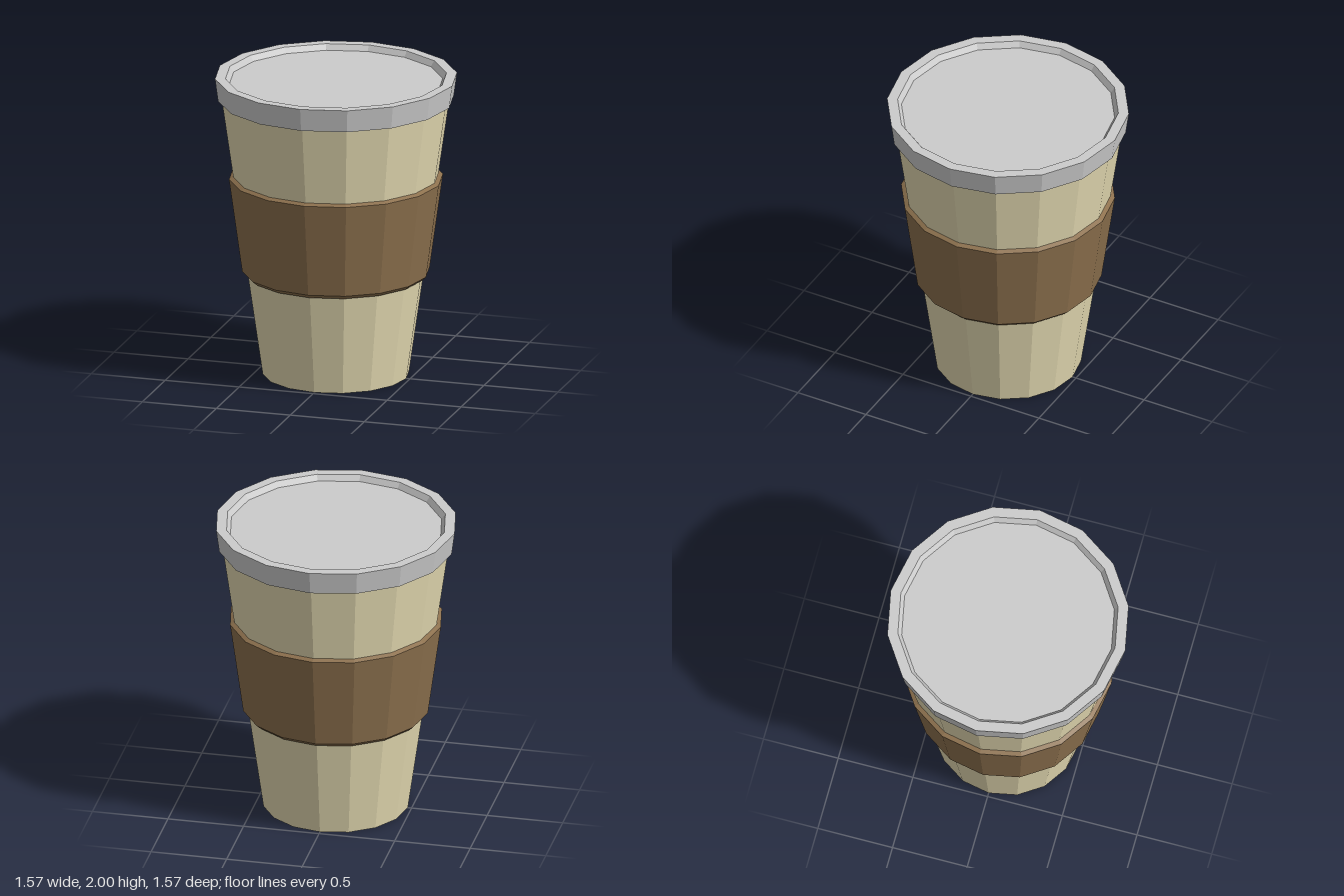
import * as THREE from 'three';

const SIDES = 16;

// Faceted ring-shaped part turned from [radius, height] points, bottom to top
function turned(name, color, profile) {
  const points = profile.map(([r, y]) => new THREE.Vector2(r, y));
  const material = new THREE.MeshStandardMaterial({ color, flatShading: true });
  const mesh = new THREE.Mesh(new THREE.LatheGeometry(points, SIDES), material);
  mesh.name = name;
  return mesh;
}

export function createModel() {
  const group = new THREE.Group();
  group.name = 'takeawayCup';

  // Tapered cup with a closed base, running up inside the lid
  group.add(turned('cupBody', 0xe6dcb3, [[0, 0], [0.475, 0], [0.744, 1.88]]));

  // Sleeve with bevelled lower and upper edges
  group.add(turned('sleeve', 0x8d714e, [
    [0.565, 0.67], [0.582, 0.67], [0.608, 0.695], [0.694, 1.32], [0.665, 1.335],
  ]));

  // Lid: underside lip, flared skirt, flat rim and sunken top
  group.add(turned('lid', 0xcccccc, [
    [0.73, 1.85], [0.765, 1.85], [0.785, 2], [0.717, 2], [0.692, 1.963], [0, 1.963],
  ]));

  return group;
}
